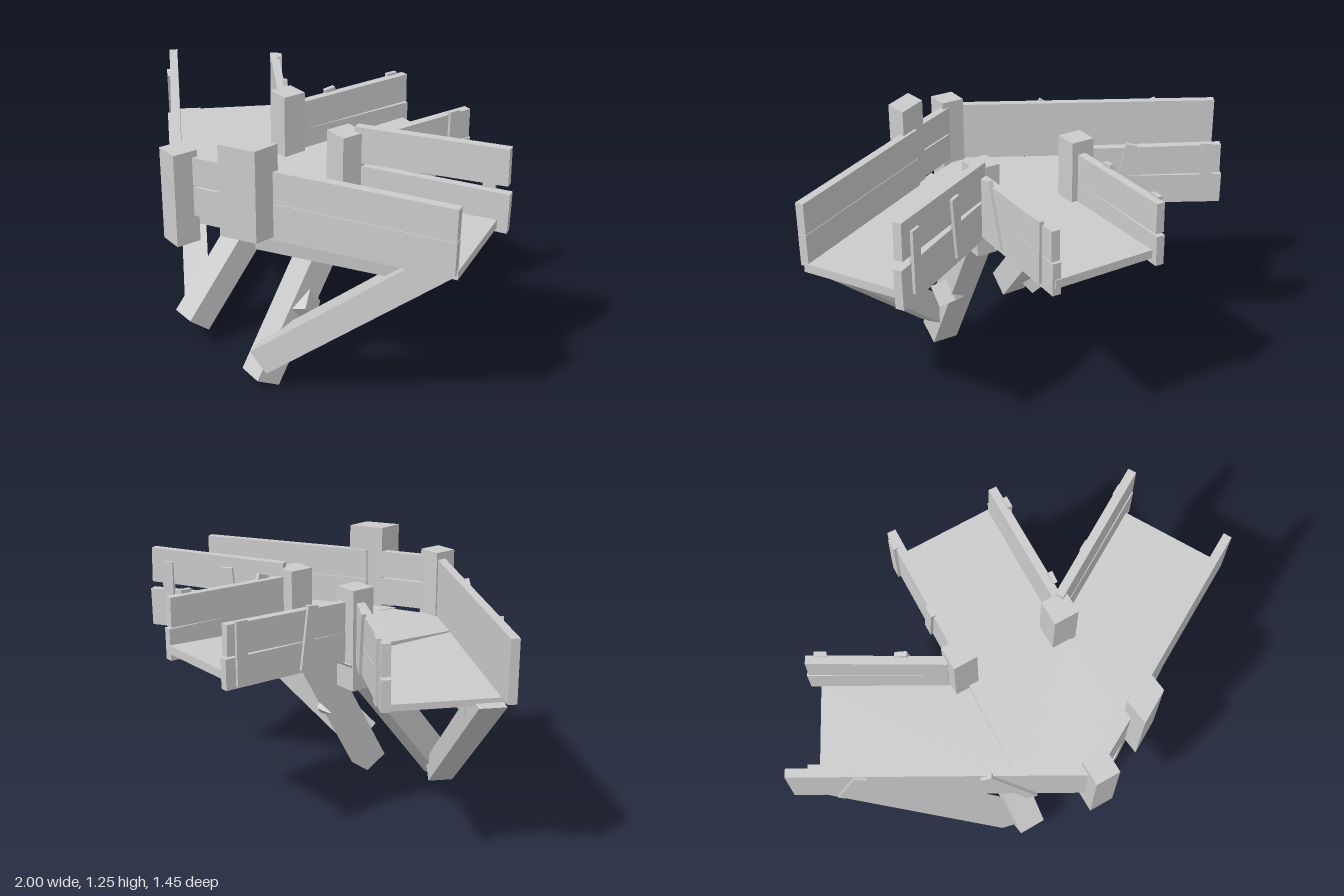
import * as THREE from 'three';

const material = new THREE.MeshStandardMaterial({ color: 0xcccccc, flatShading: true });
const FLOOR = 0.84;

export function createModel() {
  const group = new THREE.Group();
  const V = (p) => new THREE.Vector3(...p);

  function add(name, geometry) {
    const mesh = new THREE.Mesh(geometry, material);
    mesh.name = name;
    group.add(mesh);
    return mesh;
  }

  // squared timber running from a to b
  function timber(name, a, b, w, h, roll = 0) {
    const A = V(a), B = V(b);
    const mesh = add(name, new THREE.BoxGeometry(w, h, A.distanceTo(B)));
    mesh.position.copy(A).add(B).multiplyScalar(0.5);
    mesh.lookAt(B);
    mesh.rotateZ(roll);
    return mesh;
  }

  // slanted timber whose upper end is cut level under the deck
  function strut(name, a, b, w, h) {
    const mesh = timber(name, a, b, w, h);
    mesh.updateMatrix();
    const rise = V(b).sub(V(a)).normalize().y;
    const pos = mesh.geometry.attributes.position;
    const v = new THREE.Vector3();
    for (let i = 0; i < pos.count; i++) {
      if (pos.getZ(i) < 0) continue;
      v.fromBufferAttribute(pos, i).applyMatrix4(mesh.matrix);
      pos.setZ(i, pos.getZ(i) + (0.815 - v.y) / rise);
    }
  }

  // upright post, y0 to y1
  function post(name, x, z, y0, y1, size, angle) {
    const mesh = add(name, new THREE.BoxGeometry(size, y1 - y0, size));
    mesh.position.set(x, (y0 + y1) / 2, z);
    mesh.rotation.y = angle;
  }

  // flat deck cut from an outline of [x, z] corners
  function deck(name, corners, top, thickness) {
    const shape = new THREE.Shape(corners.map(([x, z]) => new THREE.Vector2(x, -z)));
    const geometry = new THREE.ExtrudeGeometry(shape, { depth: thickness, bevelEnabled: false });
    geometry.rotateX(-Math.PI / 2);
    const mesh = add(name, geometry);
    mesh.position.y = top - thickness;
    return mesh;
  }

  // parapet of two planks; each plank is [y at start, y at end, height, extra length]
  // battens are [position along wall, lean, side]
  function wall(name, [x0, z0], [x1, z1], planks, battens = []) {
    const dx = x1 - x0, dz = z1 - z0, len = Math.hypot(dx, dz);
    const ux = dx / len, uz = dz / len;
    for (const [ya, yb, h, extra] of planks) {
      timber(name + 'Plank', [x0, ya, z0], [x1 + ux * extra, yb, z1 + uz * extra], 0.04, h);
    }
    for (const [t, lean, side] of battens) {
      const nx = -uz * side * 0.023, nz = ux * side * 0.023;
      const at = (s, y) => [x0 + dx * t + ux * s + nx, y, z0 + dz * t + uz * s + nz];
      const mesh = timber(name + 'Batten', at(-lean, 0.83), at(lean, 1.12), 0.055, 0.022);
      // square the batten to the face of the wall
      const y = new THREE.Vector3(nx, 0, nz).normalize();
      const z = V(at(lean, 1.12)).sub(V(at(-lean, 0.83))).normalize();
      const x = new THREE.Vector3().crossVectors(y, z);
      mesh.quaternion.setFromRotationMatrix(new THREE.Matrix4().makeBasis(x, y, z));
    }
  }

  // decks of the three arms
  deck('leftBackDeck', [[-0.93, -0.4], [-0.51, -0.66], [-0.18, -0.1], [-0.2, 0.1], [-0.45, 0.4]], FLOOR - 0.005, 0.03);
  deck('sideDeck', [[0.26, 0.12], [0.95, 0.12], [0.94, 0.62], [-0.1, 0.62]], FLOOR + 0.005, 0.04);
  const rising = deck('rightBackDeck',
    [[0.21, -0.68], [0.64, -0.43], [0.27, 0.17], [0.03, 0.61], [-0.33, 0.6], [-0.47, 0.37]], FLOOR, 0.04);
  // this deck climbs gently towards its open end
  const d = rising.geometry.attributes.position;
  for (let i = 0; i < d.count; i++) {
    const along = (d.getX(i) + 0.15) * 0.5 - (d.getZ(i) - 0.6) * 0.86;
    d.setY(i, d.getY(i) + along * 0.035);
  }

  // corner posts
  post('innerBackPost', -0.16, -0.13, 0.69, 1.16, 0.115, -Math.PI / 6);
  post('innerSidePost', 0.25, 0.14, 0.71, 1.14, 0.12, -Math.PI / 6);
  post('frontCornerPost', -0.305, 0.645, 0.73, 1.16, 0.115, -Math.PI / 6);
  post('underBlock', -0.1, 0.33, 0.735, 0.83, 0.13, -Math.PI / 6);
  const skew = new THREE.BoxGeometry(0.17, 0.42, 0.11);
  const p = skew.attributes.position;
  for (let i = 0; i < p.count; i++) p.setX(i, p.getX(i) - p.getZ(i) * 0.45);
  add('frontPost', skew).position.set(0.034, 1.04, 0.665);

  // parapet walls
  const longPair = [[0.915, 0.915, 0.145, 0], [1.055, 1.055, 0.14, 0]];
  const innerPair = [[0.89, 0.89, 0.14, 0.015], [1.03, 1.04, 0.14, 0.005]];
  wall('outerLeftWall', [-0.335, 0.605], [-0.98, -0.495], longPair, [[0.26, 0.1, -1], [0.79, -0.05, -1]]);
  wall('innerLeftWall', [-0.2, -0.17], [-0.505, -0.7], innerPair, [[0.28, 0.03, 1], [0.9, 0, 1]]);
  wall('innerRightWall', [-0.12, -0.18], [0.205, -0.7], innerPair, [[0.33, -0.02, -1], [0.9, 0, -1]]);
  wall('outerRightWall', [0.29, 0.12], [0.625, -0.42],
    [[0.89, 0.885, 0.15, 0.01], [1.03, 1.035, 0.14, 0]], [[0.25, -0.05, 1], [0.84, 0, 1]]);
  wall('sideBackWall', [0.29, 0.115], [0.985, 0.105],
    [[0.89, 0.88, 0.185, 0.012], [1.08, 1.095, 0.17, 0]], [[0.39, 0.015, -1], [0.87, 0, -1]]);
  wall('sideFrontWall', [0.05, 0.615], [0.935, 0.62],
    [[0.91, 0.905, 0.15, 0], [1.06, 1.055, 0.145, 0]]);
  wall('frontWall', [-0.27, 0.625], [0.0, 0.63],
    [[0.925, 0.925, 0.135, 0], [1.065, 1.065, 0.13, 0]]);

  // beams under the decks
  timber('sideBeam', [0, 0.76, 0.5], [0.76, 0.77, 0.5], 0.11, 0.11, 0.15);
  timber('leftBeam', [-0.78, 0.755, -0.32], [-0.39, 0.755, 0.33], 0.1, 0.11);

  // slanted legs and braces
  strut('backLeg', [-0.43, 0.132, 0.38], [-0.16, 0.8, -0.1], 0.13, 0.13);
  strut('sideLeg', [0.01, 0.031, 0.54], [0.235, 0.81, 0.17], 0.13, 0.13);
  strut('sideBrace', [0.035, 0.155, 0.535], [0.84, 0.82, 0.535], 0.15, 0.125);
  strut('leftBrace', [-0.45, 0.145, 0.29], [-0.86, 0.82, -0.42], 0.12, 0.11);
  timber('legStub', [0.13, 0.36, 0.39], [0.205, 0.38, 0.39], 0.1, 0.11, 0.6);

  return group;
}
